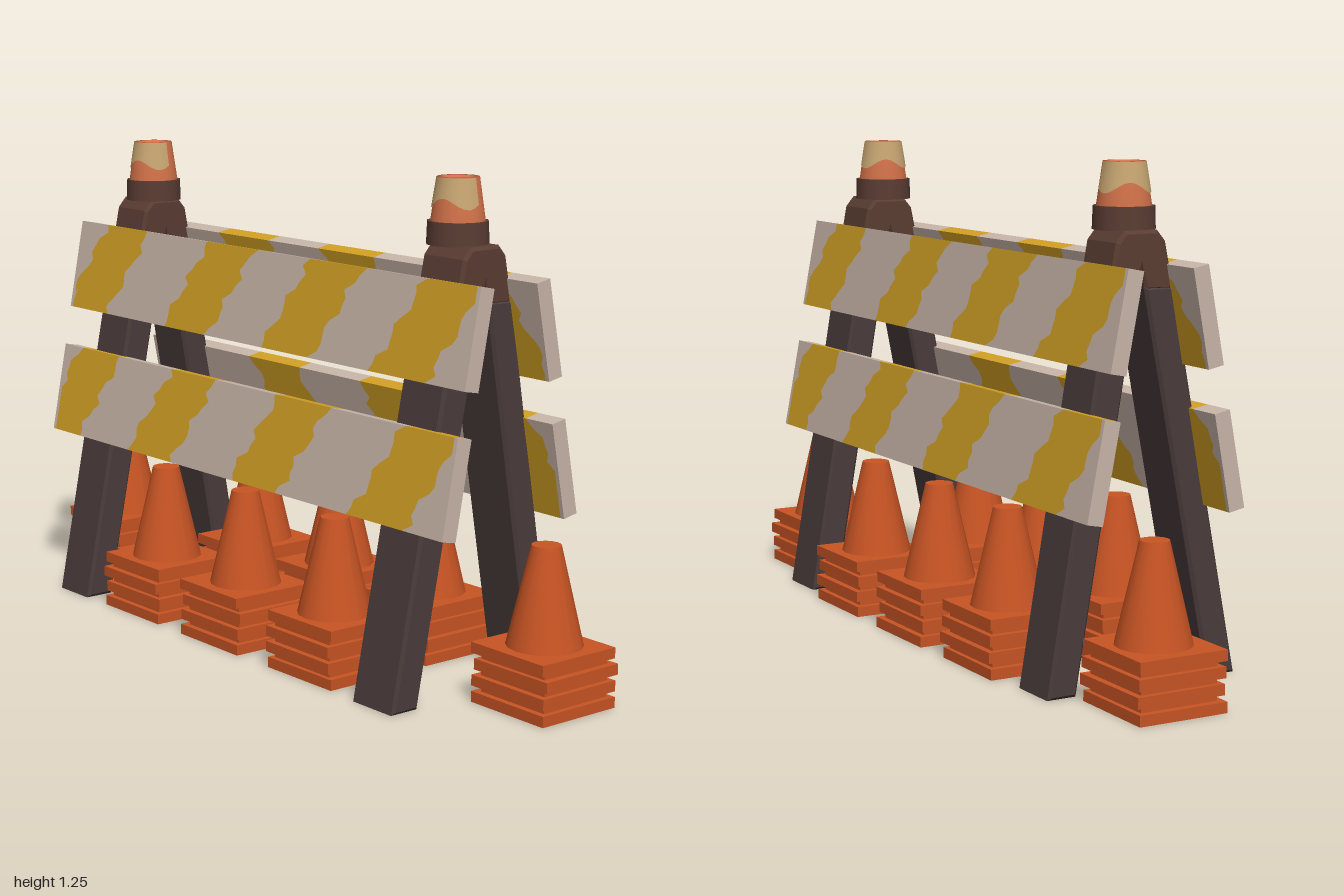
import * as THREE from 'three';

const paint = (name, color, side = THREE.FrontSide) => {
  const m = new THREE.MeshStandardMaterial({ color, side });
  m.name = name;
  return m;
};

export function createModel() {
  const white = paint('boardWhite', 0xc8b5a8);
  const yellow = paint('boardYellow', 0xd2a024);
  const dark = paint('legDarkBrown', 0x4a3c3b);
  const brown = paint('rustBrown', 0x5a3d33);
  const orange = paint('coneOrange', 0xc85424);
  const coral = paint('lampCoral', 0xcf7048);
  const tan = paint('lampTan', 0xc8a672, THREE.DoubleSide);

  const model = new THREE.Group();
  model.name = 'roadBarrier';
  const add = (parent, name, geometry, material, x = 0, y = 0, z = 0) => {
    const mesh = new THREE.Mesh(geometry, material);
    mesh.name = name;
    mesh.position.set(x, y, z);
    parent.add(mesh);
    return mesh;
  };
  const group = (name, parent = model) => {
    const g = new THREE.Group();
    g.name = name;
    parent.add(g);
    return g;
  };

  // Side profile given as [z, y] points, extruded along x with a small chamfer
  const sideExtrude = (points, width, bevel = 0.008) => {
    const shape = new THREE.Shape(points.map(([z, y]) => new THREE.Vector2(z, y)));
    const g = new THREE.ExtrudeGeometry(shape, {
      depth: width - 2 * bevel, bevelEnabled: true, bevelSegments: 1,
      bevelSize: bevel, bevelOffset: -bevel, bevelThickness: bevel,
    });
    return g.translate(0, 0, bevel - width / 2).rotateY(-Math.PI / 2);
  };

  // A-frames, each carrying a warning lamp
  const frame = (name, x, width, lampX) => {
    const g = group(name);
    add(g, 'frontLeg', sideExtrude([[0.2, 0], [0.28, 0], [0.09, 0.96], [0.008, 0.96]], width), dark, x);
    add(g, 'backLeg', sideExtrude([[-0.25, 0], [-0.172, 0], [-0.008, 0.96], [-0.088, 0.96]], width), dark, x);
    add(g, 'frameHead', sideExtrude([
      [0.092, 0.95], [0.068, 1.065], [0.045, 1.092], [-0.045, 1.092],
      [-0.068, 1.065], [-0.09, 0.95], [-0.012, 0.95], [0, 1.01], [0.012, 0.95],
    ], width - 0.004), brown, x);

    const lamp = group('warningLamp', g);
    lamp.position.set(lampX, 0, 0.005);
    add(lamp, 'lampCollar', new THREE.CylinderGeometry(0.074, 0.076, 0.056, 14), brown, 0, 1.118);
    // Hollow-topped lens
    const lens = [[0.067, 1.14], [0.051, 1.25], [0.038, 1.25], [0.036, 1.238], [0, 1.238]];
    add(lamp, 'lampLens', new THREE.LatheGeometry(lens.map(([r, y]) => new THREE.Vector2(r, y)), 20), coral);
    add(lamp, 'lampTop', new THREE.CylinderGeometry(0.036, 0.036, 0.003, 20), tan, 0, 1.239);
    // Faded patch with a wavy lower edge
    const fade = new THREE.CylinderGeometry(0.0525, 0.0645, 0.075, 24, 1, true, 2.9, 5.1);
    const p = fade.attributes.position;
    for (let i = 0; i < p.count; i++) {
      if (p.getY(i) > 0) continue;
      const a = Math.atan2(p.getX(i), p.getZ(i));
      const lift = 0.014 + 0.013 * Math.sin(3 * a + 1);
      const s = 1 - (lift / 0.075) * (0.012 / 0.0645);
      p.setXYZ(i, p.getX(i) * s, p.getY(i) + lift, p.getZ(i) * s);
    }
    fade.computeVertexNormals();
    add(lamp, 'lampFade', fade, tan, 0, 1.212);
  };
  frame('rightFrame', -0.648, 0.144, -0.63);
  frame('leftFrame', 0.64, 0.154, 0.62);

  // Striped boards: slanted slabs that share ragged edges
  const H = 0.243, T = 0.043, L = 0.823, STEPS = 12;
  const boundary = (e) => Array.from({ length: STEPS + 1 }, (_, i) => {
    const v = (i / STEPS - 0.5) * H;
    const wobble = 0.013 * Math.sin(i * 1.3 + e * 17) + 0.007 * Math.sin(i * 2.9 + e * 31);
    const x = Math.abs(e) >= L ? e : THREE.MathUtils.clamp(e + 0.62 * v + wobble, -L + 0.012, L - 0.012);
    return new THREE.Vector2(x, v);
  });
  const board = (name, centres, y, z, back) => {
    const g = group(name);
    g.position.set(-0.006, y, z);
    g.rotation.set(-0.19, back ? Math.PI : 0, 0, 'YXZ');
    const edges = [-L, ...centres.flatMap((c) => [c - 0.1, c + 0.1]), L].map(boundary);
    for (let i = 0; i < edges.length - 1; i++) {
      const shape = new THREE.Shape([...edges[i], ...[...edges[i + 1]].reverse()]);
      const slab = new THREE.ExtrudeGeometry(shape, { depth: T, bevelEnabled: false });
      add(g, i % 2 ? 'yellowStripe' : 'whiteStripe', slab.translate(0, 0, -T / 2), i % 2 ? yellow : white);
    }
  };
  const upper = [-0.67, -0.2, 0.23, 0.66], lower = [-0.72, -0.28, 0.18, 0.66];
  board('frontUpperBoard', upper, 0.895, 0.113, false);
  board('frontLowerBoard', lower, 0.55, 0.178, false);
  board('backUpperBoard', upper, 0.895, -0.111, true);
  board('backLowerBoard', lower, 0.552, -0.171, true);

  // Stacked traffic cones
  const plate = new THREE.BoxGeometry(0.246, 0.027, 0.238);
  const core = new THREE.BoxGeometry(0.215, 0.14, 0.208);
  const cone = new THREE.CylinderGeometry(0.036, 0.094, 0.247, 16);
  const coneStack = (x, z, n) => {
    const g = group('coneStack');
    g.position.set(x, 0, z);
    add(g, 'stackCore', core, orange, 0, 0.072);
    for (let i = 0; i < 4; i++) {
      const jitter = 0.003 * Math.sin(n * 5 + i * 2.3);
      const m = add(g, 'conePlate', plate, orange, jitter, 0.0135 + i * 0.041, -jitter);
      m.rotation.y = jitter * 3;
    }
    add(g, 'coneBody', cone, orange, 0, 0.272);
  };
  let n = 0;
  for (const x of [-0.37, -0.015, 0.35]) {
    coneStack(x, 0.157, n++);
    coneStack(x, -0.16, n++);
  }
  for (const x of [-0.873, 0.873]) coneStack(x, -0.06, n++);

  return model;
}
